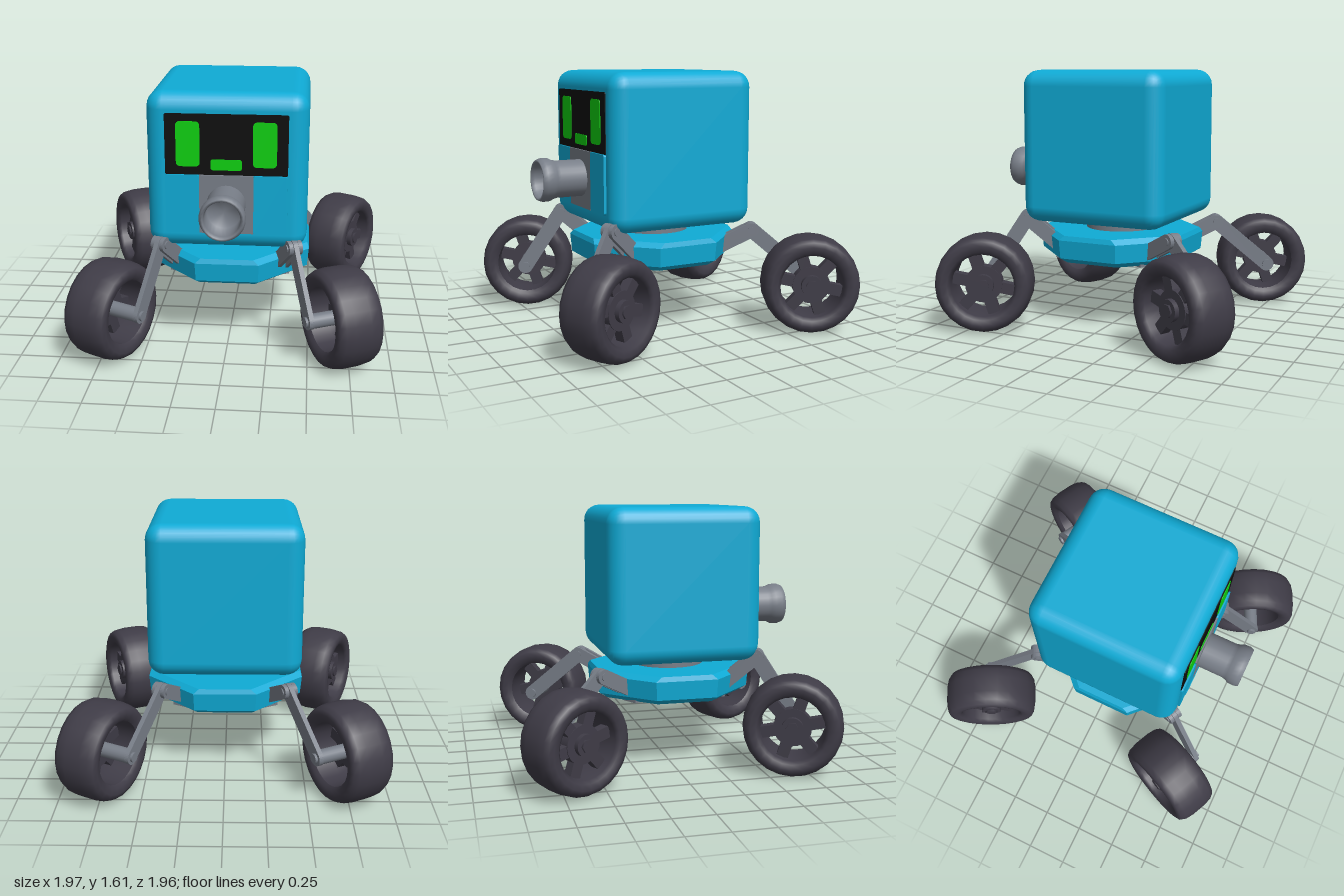
import * as THREE from 'three';
import { RoundedBoxGeometry } from 'three/addons/geometries/RoundedBoxGeometry.js';

const material = (name, color) => {
  const m = new THREE.MeshStandardMaterial({ color });
  m.name = name;
  return m;
};

export function createModel() {
  const blue = material('blue shell', 0x0fabd6);
  const grey = material('grey metal', 0x787e88);
  const dark = material('tyre rubber', 0x3f3c47);
  const black = material('black screen', 0x0c0c0c);
  const green = material('green light', 0x0dd00f);

  const model = new THREE.Group();
  model.name = 'rover';

  const add = (parent, name, geometry, mat, x = 0, y = 0, z = 0) => {
    const mesh = new THREE.Mesh(geometry, mat);
    mesh.name = name;
    mesh.position.set(x, y, z);
    parent.add(mesh);
    return mesh;
  };
  const box = (w, h, d) => new THREE.BoxGeometry(w, h, d);
  // Thin plate with rounded corners, its back at z = 0
  const plate = (w, h, d, r) => {
    const s = new THREE.Shape(), x = w / 2 - r, y = h / 2 - r;
    s.absarc(x, y, r, 0, Math.PI / 2);
    s.absarc(-x, y, r, Math.PI / 2, Math.PI);
    s.absarc(-x, -y, r, Math.PI, Math.PI * 1.5);
    s.absarc(x, -y, r, Math.PI * 1.5, Math.PI * 2);
    return new THREE.ExtrudeGeometry(s, { depth: d, bevelEnabled: false, curveSegments: 4 });
  };

  // Head
  const midZ = 0.06, faceZ = 0.54;
  add(model, 'head', new RoundedBoxGeometry(0.955, 0.955, 0.96, 3, 0.1), blue, 0, 1.14, midZ);
  add(model, 'screen', plate(0.72, 0.365, 0.006, 0.01), black, 0, 1.317, faceZ - 0.001);
  add(model, 'mouth', plate(0.185, 0.065, 0.005, 0.015), green, 0, 1.197, faceZ + 0.004);
  for (const s of [1, -1]) {
    add(model, 'eye', plate(0.14, 0.27, 0.005, 0.025), green, s * 0.225, 1.32, faceZ + 0.004);
    add(model, 'cheekPanel', plate(0.2, 0.36, 0.02, 0.015), blue, s * 0.26, 0.955, faceZ - 0.004);
  }
  add(model, 'lensPanel', box(0.32, 0.36, 0.02), grey, 0, 0.955, faceZ + 0.006);

  // Hollow lens barrel with a flared rim
  const barrel = [[0.115, 0], [0.115, 0.18], [0.12, 0.205], [0.132, 0.23], [0.134, 0.27], [0.124, 0.297],
    [0.112, 0.297], [0.104, 0.275], [0.1, 0.15], [0, 0.15]].map(p => new THREE.Vector2(...p));
  add(model, 'lens', new THREE.LatheGeometry(barrel, 28), grey, 0, 0.96, faceZ).rotation.x = Math.PI / 2;

  // Neck
  add(model, 'neck', new THREE.CylinderGeometry(0.23, 0.23, 0.1, 28), grey, 0, 0.625, midZ - 0.005);

  // Octagonal chassis, lofted from rings of [y, half width, half flat]
  const rings = [[0.38, 0, 0], [0.38, 0.22, 0.1], [0.42, 0.43, 0.17], [0.455, 0.485, 0.19],
    [0.57, 0.495, 0.195], [0.6, 0.485, 0.16], [0.6, 0, 0]];
  const ringPoints = ([y, a, c]) => [[a, c], [c, a], [-c, a], [-a, c], [-a, -c], [-c, -a], [c, -a], [a, -c]]
    .map(([x, w]) => [x, y, -w]);
  const verts = [];
  for (let k = 0; k < rings.length - 1; k++) {
    const lo = ringPoints(rings[k]), hi = ringPoints(rings[k + 1]);
    for (let i = 0; i < 8; i++) {
      const j = (i + 1) % 8;
      if (k > 0) verts.push(...lo[i], ...lo[j], ...hi[j]);
      if (k === 0) verts.push(...lo[i], ...hi[j], ...hi[i]);
      else if (k < rings.length - 2) verts.push(...lo[i], ...hi[j], ...hi[i]);
    }
  }
  const chassis = new THREE.BufferGeometry();
  chassis.setAttribute('position', new THREE.Float32BufferAttribute(verts, 3));
  chassis.computeVertexNormals();
  add(model, 'chassis', chassis, blue, 0, 0, midZ - 0.005);

  // Flat bar with round ends between two [z, y] points, centred on x
  const link = ([z0, y0], [z1, y1], r, t, x) => {
    const len = Math.hypot(z1 - z0, y1 - y0), s = new THREE.Shape();
    s.absarc(len, 0, r, -Math.PI / 2, Math.PI / 2);
    s.absarc(0, 0, r, Math.PI / 2, Math.PI * 1.5);
    const g = new THREE.ExtrudeGeometry(s, { depth: t, bevelEnabled: false, curveSegments: 8 });
    g.translate(0, 0, -t / 2);
    g.rotateZ(Math.atan2(y1 - y0, z0 - z1));
    g.rotateY(Math.PI / 2);
    return g.translate(x, y0, z0);
  };
  // Cylinder lying along x
  const pin = (r, len, n = 20) => new THREE.CylinderGeometry(r, r, len, n).rotateZ(Math.PI / 2);

  const tyreProfile = [[0.195, -0.12], [0.215, -0.138], [0.25, -0.146], [0.278, -0.136], [0.295, -0.105],
    [0.303, -0.05], [0.303, 0.05], [0.295, 0.105], [0.278, 0.136], [0.25, 0.146], [0.215, 0.138],
    [0.195, 0.12], [0.192, 0], [0.195, -0.12]].map(p => new THREE.Vector2(...p));
  const tyre = new THREE.LatheGeometry(tyreProfile, 24);

  // Wheel facing outward along x * s
  const makeWheel = s => {
    const wheel = new THREE.Group();
    wheel.name = 'wheel';
    add(wheel, 'tyre', tyre, dark).rotation.z = -s * Math.PI / 2;
    add(wheel, 'hub', pin(0.115, 0.07), dark, s * 0.045);
    add(wheel, 'hubCap', pin(0.065, 0.05), dark, s * 0.085);
    add(wheel, 'hubBolt', pin(0.04, 0.02, 6), dark, s * 0.112);
    for (let i = 0; i < 6; i++) {
      const spoke = add(wheel, 'spoke', box(0.06, 0.12, 0.07).translate(0, 0.145, 0), dark, s * 0.045);
      spoke.rotation.x = (i + 0.3) * Math.PI / 3;
    }
    return wheel;
  };

  // Legs: wheel centre, turn, then knee and mount as [z, y] from the axle
  const legs = [
    { name: 'frontLeg', x: 0.69, z: 0.665, turn: 25, knee: [-0.245, 0.375], mount: [-0.46, 0.19] },
    { name: 'backLeg', x: 0.733, z: -0.675, turn: -28, knee: [0.35, 0.295], mount: [0.6, 0.17] },
  ];
  for (const { name, x, z, turn, knee, mount } of legs) for (const s of [1, -1]) {
    const leg = new THREE.Group();
    leg.name = name;
    leg.position.set(s * x, 0.311, z);
    leg.rotation.y = s * THREE.MathUtils.degToRad(turn);
    leg.add(makeWheel(s));
    const inner = -s * 0.205;
    add(leg, 'axle', pin(0.045, 0.2), grey, -s * 0.1);
    add(leg, 'axleBolt', pin(0.03, 0.02, 12), grey, inner - s * 0.02);
    add(leg, 'lowerLeg', link([0, 0], knee, 0.048, 0.03, inner), grey);
    for (const o of [-0.03, 0.03]) add(leg, 'upperLeg', link(knee, mount, 0.046, 0.026, inner + o), grey);
    add(leg, 'kneePin', pin(0.024, 0.1, 12), grey, inner, knee[1], knee[0]);
    add(leg, 'mountBlock', box(0.12, 0.13, 0.05), grey, inner, mount[1] - 0.005, mount[0]);
    model.add(leg);
  }
  return model;
}
